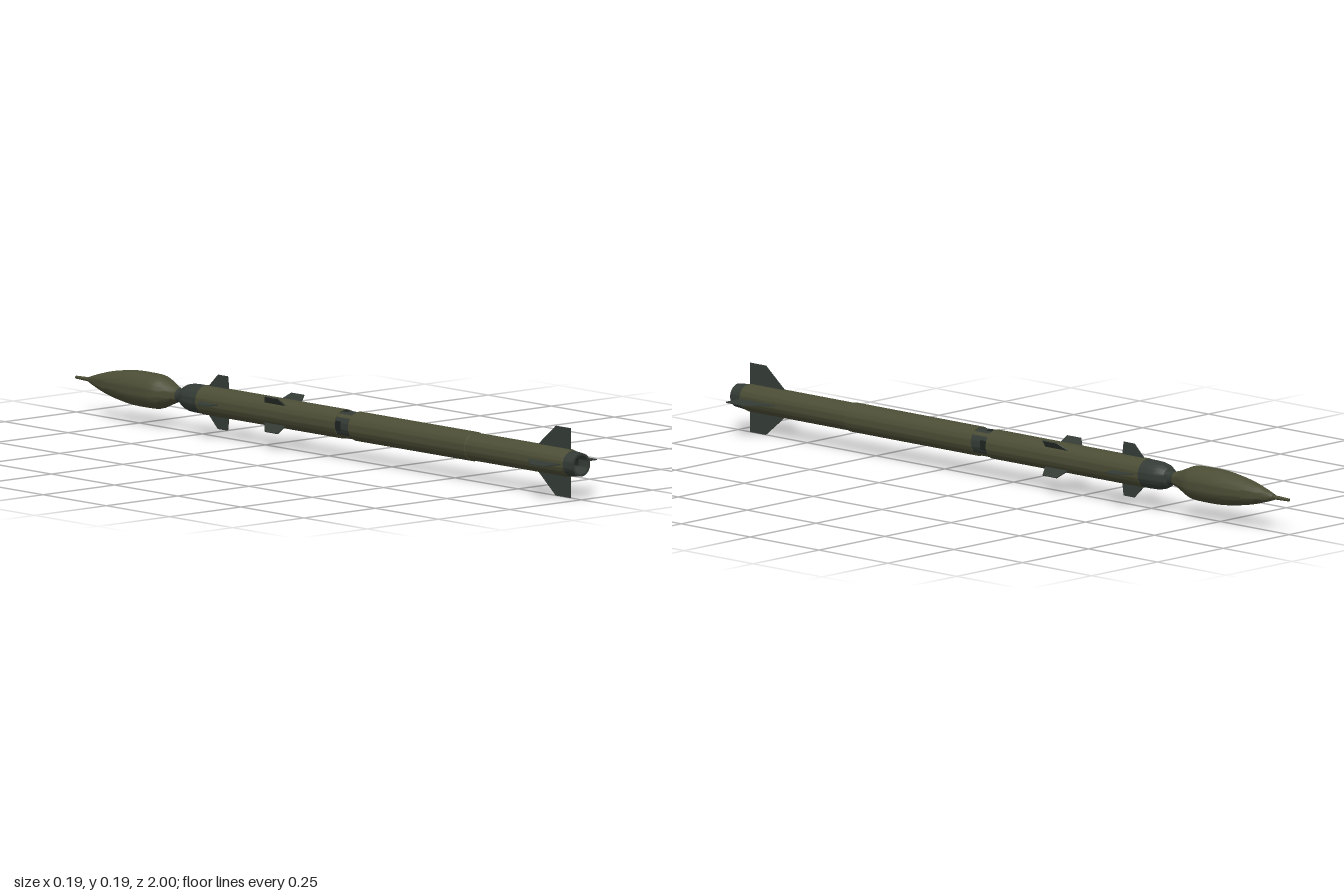
import * as THREE from 'three';
import { toCreasedNormals } from 'three/addons/utils/BufferGeometryUtils.js';

export function createModel() {
  const mat = (name, color) => {
    const m = new THREE.MeshStandardMaterial({ color });
    m.name = name;
    return m;
  };
  const olive = mat('olive paint', 0x4b4d35);
  const dark = mat('dark grey green', 0x343b35);
  const black = mat('soot black', 0x1f2421);

  const model = new THREE.Group();
  model.name = 'missile';
  const axis = new THREE.Group();
  axis.name = 'airframe';
  axis.position.y = 0.093;
  model.add(axis);

  // Turned part along z; profile points are [radius, z]
  const turned = (name, profile, material, start = 0, sweep = Math.PI * 2) => {
    const segments = Math.max(6, Math.round(40 * sweep / (Math.PI * 2)));
    const geo = new THREE.LatheGeometry(profile.map(([r, z]) => new THREE.Vector2(r, z)), segments, start, sweep);
    geo.rotateX(Math.PI / 2);
    const mesh = new THREE.Mesh(toCreasedNormals(geo, 0.5), material);
    mesh.name = name;
    axis.add(mesh);
  };

  // Nose probe and warhead
  turned('noseProbe', [[0, -1], [0.004, -1], [0.006, -0.94]], olive);
  const ogive = new THREE.SplineCurve([
    [0.008, -0.945], [0.019, -0.91], [0.032, -0.86], [0.042, -0.8], [0.0465, -0.75],
    [0.0465, -0.69], [0.044, -0.66], [0.034, -0.633], [0.024, -0.608], [0.019, -0.59],
  ].map(([r, z]) => new THREE.Vector2(r, z))).getPoints(36).map((p) => [p.x, p.y]);
  turned('warhead', [[0, -0.946], ...ogive], olive);

  // Neck and dark seeker collar
  turned('neck', [[0.019, -0.592], [0.017, -0.58], [0.02, -0.565]], dark);
  turned('collar', [[0.018, -0.572], [0.026, -0.567], [0.033, -0.553], [0.037, -0.535], [0.038, -0.51], [0.038, -0.485]], dark);

  // Body tube in three sections, with a recessed band between the first two
  turned('frontBody', [[0.036, -0.487], [0.039, -0.485], [0.039, 0.065], [0.036, 0.065]], olive);
  turned('recessedBand', [[0.0365, 0.06], [0.0365, 0.125]], dark);
  turned('middleBody', [[0.036, 0.12], [0.039, 0.12], [0.039, 0.58], [0.036, 0.582]], olive);
  turned('rearBody', [[0.037, 0.578], [0.037, 0.95], [0.033, 0.968]], olive);

  // Hollow exhaust nozzle
  turned('nozzle', [[0.034, 0.962], [0.031, 1], [0.025, 1], [0.022, 0.965]], dark);
  turned('nozzleInside', [[0.022, 0.965], [0.013, 0.94], [0.015, 0.92], [0, 0.92]], black);

  // Band bridges and black vents
  for (let i = 0; i < 4; i++) {
    const a = i * Math.PI / 2;
    turned('bandBridge', [[0.0385, 0.064], [0.0385, 0.121]], olive, a + 0.65, 0.28);
    turned('bandVent', [[0.037, 0.066], [0.037, 0.088]], black, a - 0.35, 0.7);
  }

  // Four flat fins around the axis; outline points are [radius, z]
  const finSet = (name, outline, turn) => {
    const t = 0.003;
    const shape = new THREE.Shape(outline.map(([r, z]) => new THREE.Vector2(r, z)));
    const geo = new THREE.ExtrudeGeometry(shape, { depth: t, bevelEnabled: false });
    geo.translate(0, 0, -t / 2).rotateX(Math.PI / 2);
    for (let i = 0; i < 4; i++) {
      const fin = new THREE.Mesh(geo, dark);
      fin.name = name;
      fin.rotation.z = turn + i * Math.PI / 2;
      axis.add(fin);
    }
  };
  finSet('noseFin', [[0.034, -0.475], [0.04, -0.472], [0.072, -0.438], [0.072, -0.4], [0.034, -0.395]], 0);
  finSet('midFin', [[0.034, -0.225], [0.04, -0.222], [0.066, -0.2], [0.066, -0.15], [0.034, -0.14]], Math.PI / 4);
  finSet('tailFin', [[0.033, 0.83], [0.038, 0.833], [0.0925, 0.9], [0.0925, 0.957], [0.033, 0.957]], 0);

  return model;
}
